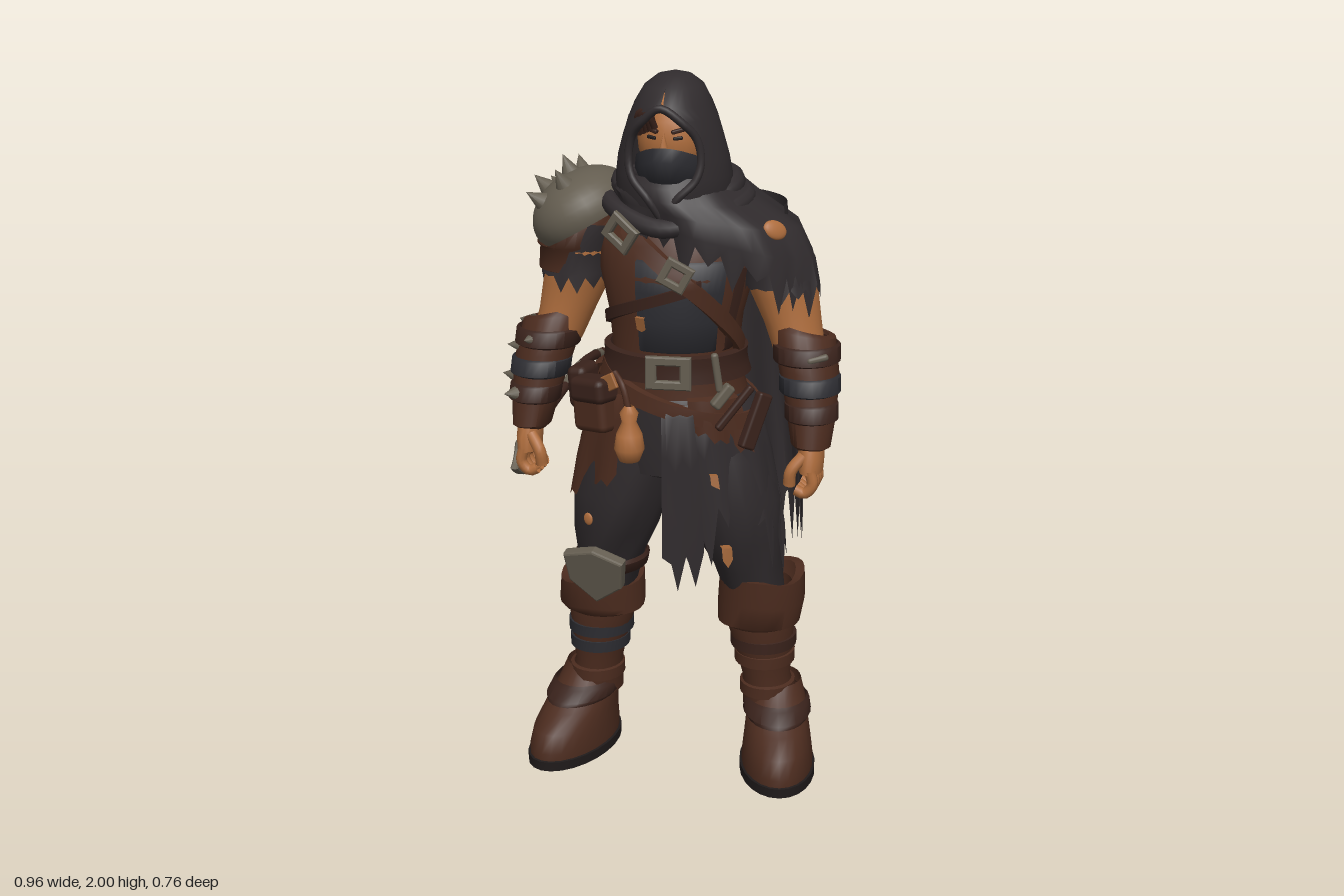
import * as THREE from 'three';
import { toCreasedNormals } from 'three/addons/utils/BufferGeometryUtils.js';
import { RoundedBoxGeometry } from 'three/addons/geometries/RoundedBoxGeometry.js';

const V = (x, y, z) => new THREE.Vector3(x, y, z);
const paint = (name, color) => Object.assign(new THREE.MeshStandardMaterial({ color, side: THREE.DoubleSide }), { name });

export function createModel() {
  const model = new THREE.Group();
  model.name = 'hoodedFighter';
  const cloth = paint('charcoalCloth', 0x302b2d), leather = paint('brownLeather', 0x4b2b1e);
  const dark = paint('darkLeather', 0x39221b), skin = paint('skin', 0xae6d3d), metal = paint('dullMetal', 0x645d50);
  const slate = paint('slateCloth', 0x2b2b30), sole = paint('sole', 0x1f1a1a), tan = paint('tanLeather', 0x9c6236);

  let seed = 7;
  const rnd = () => (seed = (seed * 16807) % 2147483647) / 2147483647;
  function add(geo, mat, name, parent = model) {
    const m = new THREE.Mesh(geo, mat);
    m.name = name;
    parent.add(m);
    return m;
  }

  // Grid of points at(t row, u column) turned into a surface
  function grid(nr, nc, at, closed = false) {
    const pos = [], idx = [], w = closed ? nc : nc + 1;
    for (let r = 0; r <= nr; r++) for (let c = 0; c < w; c++) pos.push(...at(r, c).toArray());
    for (let r = 0; r < nr; r++) for (let c = 0; c < nc; c++) {
      const a = r * w + c, b = r * w + (c + 1) % w;
      idx.push(a, a + w, b, b, a + w, b + w);
    }
    const g = new THREE.BufferGeometry();
    g.setAttribute('position', new THREE.Float32BufferAttribute(pos, 3));
    g.setIndex(idx);
    return toCreasedNormals(g, 0.9);
  }

  // Stacked ellipses [y, cx, cz, rx, rz, front opening], listed from the top down
  function loft(rows, { seg = 24, a0 = 0, a1 = Math.PI * 2, warp } = {}) {
    const closed = a1 - a0 > 6.28 && rows.every(r => !r[5]);
    return grid(rows.length - 1, seg, (r, c) => {
      const [y, cx, cz, rx, rz, o = 0] = rows[r];
      const a = a0 + o + (a1 - a0 - 2 * o) * c / seg;
      const p = V(cx + rx * Math.sin(a), y, cz + rz * Math.cos(a));
      if (warp) warp(p, a, r / (rows.length - 1), c);
      return p;
    }, closed);
  }

  // Body outline [y, cz, rx, rz], also used to lay straps and skirts on it
  const body = [[1.64, .1, .1, .1], [1.57, .1, .22, .16], [1.46, .115, .215, .185], [1.34, .13, .185, .165], [1.22, .135, .172, .155],
    [1.1, .135, .21, .165], [.95, .13, .25, .165], [.75, .13, .285, .165], [.5, .12, .295, .17]];
  function onBody(y, a, off) {
    let i = 0;
    while (i < body.length - 2 && body[i + 1][0] > y) i++;
    const k = (body[i][0] - y) / (body[i][0] - body[i + 1][0]);
    const [cz, rx, rz] = [1, 2, 3].map(j => THREE.MathUtils.lerp(body[i][j], body[i + 1][j], k));
    return V((rx + off) * Math.sin(a), y, cz + (rz + off) * Math.cos(a));
  }
  // Wrapped piece between two height rules, with an optional torn hem
  function wrap(name, mat, a0, a1, top, bot, off, jag = 0) {
    const ts = [0, .06, .35, .65, .94, 1], n = Math.ceil((a1 - a0) * 11);
    const tear = Array.from({ length: n + 1 }, (_, i) => jag * (i % 2 ? .4 + rnd() * .6 : rnd() * .25));
    return add(grid(5, n, (r, c) => {
      const a = a0 + (a1 - a0) * c / n;
      const y = THREE.MathUtils.lerp(top(a), bot(a) - tear[c], ts[r]);
      return onBody(y, a, r === 0 || (r === 5 && !jag) ? off - .018 : off + (jag ? .008 * Math.cos(a * 11) * ts[r] : 0));
    }), mat, name);
  }
  const flat = y => () => y;
  function spike(parent, p, dir, r, h) {
    const m = add(new THREE.ConeGeometry(r, h, 10).translate(0, h / 2 - .006, 0), metal, 'spike', parent);
    m.position.copy(p);
    m.quaternion.setFromUnitVectors(V(0, 1, 0), dir.clone().normalize());
  }
  const tube = (pts, r, n = 24, closed = false) => new THREE.TubeGeometry(new THREE.CatmullRomCurve3(pts, closed), n, r, 10, closed);
  const ball = (r, sx, sy, sz) => new THREE.SphereGeometry(r, 20, 14).scale(sx, sy, sz);
  function box(name, mat, x, y, z, w, h, d, rz = 0, ry = 0, r = .008) {
    const m = add(new RoundedBoxGeometry(w, h, d, 2, r), mat, name);
    m.position.set(x, y, z);
    m.rotation.set(0, ry, rz);
    return m;
  }
  function buckle(x, y, z, w, h, rz, ry) {
    const s = new THREE.Shape([[-w, -h], [w, -h], [w, h], [-w, h]].map(p => new THREE.Vector2(...p)));
    s.holes.push(new THREE.Path([[-w, -h], [-w, h], [w, h], [w, -h]].map(p => new THREE.Vector2(p[0] * .62, p[1] * .6))));
    const m = add(new THREE.ExtrudeGeometry(s, { depth: .012, bevelSize: .004, bevelThickness: .004, bevelSegments: 1 }), metal, 'buckle');
    m.position.set(x, y, z);
    m.rotation.set(0, ry, rz);
  }

  // Torso, vest panel, straps and belts
  add(loft(body.slice(0, 6).map(([y, cz, rx, rz]) => [y, 0, cz, rx, rz]), { seg: 32 }), leather, 'vest');
  add(loft([[1.12, 0, .135, .19, .15], [1, 0, .13, .215, .155], [.9, 0, .13, .18, .14], [.84, 0, .13, 0, 0]]), cloth, 'hips');
  wrap('vestPanel', slate, -.35, .85, flat(1.52), flat(1.25), .006);
  wrap('vestTear', tan, -.36, -.22, flat(1.36), flat(1.325), .016, .01);
  wrap('sideSeam', dark, 1.0, 1.2, flat(1.5), flat(1.25), .009);
  wrap('chestStrap', leather, -.75, 1.5, a => 1.535 - .17 * a, a => 1.475 - .17 * a, .02);
  wrap('chestStrapLower', dark, -1.3, .5, a => 1.43 + .07 * a, a => 1.395 + .07 * a, .013);
  wrap('backStrap', dark, Math.PI, 4.9, a => 1.45 + .04 * (a - 4), a => 1.4 + .04 * (a - 4), .014);
  wrap('belt', dark, 0, Math.PI * 2, flat(1.255), flat(1.175), .024);
  wrap('slungBelt', leather, -1.2, 2.6, a => 1.16 - .07 * Math.sin(a + .3), a => 1.11 - .07 * Math.sin(a + .3), .026);
  buckle(-.11, 1.585, .285, .042, .036, -.6, -.35);
  buckle(.045, 1.485, .315, .036, .034, -.5, .15);
  buckle(.025, 1.215, .315, .058, .042, 0, .1);

  // Torn skirts, leather hip plates and loincloth
  wrap('tornSkirt', cloth, .02, 2.2, flat(1.13), a => .79 - .07 * Math.cos(a * 4), .018, .16);
  wrap('rearSkirt', cloth, 2.1, 4.2, flat(1.13), flat(.85), .012, .14);
  wrap('frontTail', cloth, .08, .4, flat(1.12), flat(.72), .03, .14);
  wrap('skirtTear', tan, .56, .66, flat(.72), flat(.69), .034, .03);
  wrap('skirtTear', tan, .5, .58, flat(.93), flat(.905), .034, .02);
  [[-2.95, -2.4, .97], [-2.42, -1.85, .94], [-1.87, -1.2, .96]].forEach(([a0, a1, y], i) =>
    wrap('hipPlate', i === 1 ? dark : leather, a0, a1, flat(1.18), a => y + .03 * Math.cos(a * 6), i === 1 ? .036 : .027, .015));
  wrap('hipPlateUpper', leather, -2.7, -1.3, flat(1.19), a => 1.1 + .015 * Math.cos(a * 5), .042);
  wrap('frontHipFlap', leather, -1.3, -.45, flat(1.15), a => .91 + .12 * (a + .45), .03, .03);
  wrap('leftHipFlap', leather, .35, 1.1, flat(1.14), a => 1.1 - .1 * a, .022, .03);

  // Pouches, hanging bag and small tools
  box('pouch', leather, -.19, 1.1, .275, .12, .15, .08, .1, -.5, .02);
  box('pouchFlap', dark, -.192, 1.145, .285, .125, .07, .085, .1, -.5, .02);
  box('smallPouch', dark, -.255, 1.12, .17, .06, .12, .1, .08, -.2, .02);
  box('pouchRag', tan, -.14, 1.175, .315, .045, .045, .012, .5, -.4, .004);
  const bag = add(new THREE.LatheGeometry([[.001, .96], [.028, .965], [.042, 1], [.036, 1.04], [.02, 1.075], [.026, 1.1], [.012, 1.12]]
    .map(p => new THREE.Vector2(...p)), 16), skin, 'hangingBag');
  bag.position.set(-.08, 0, .335);
  add(tube([V(-.08, 1.1, .335), V(-.1, 1.17, .325), V(-.13, 1.2, .3)], .009, 8), leather, 'bagCord');
  box('toolGrip', dark, .2, 1.12, .285, .022, .15, .022, -.7, .5);
  box('toolHead', metal, .17, 1.155, .3, .03, .075, .03, -.7, .5);
  box('daggerHilt', metal, .155, 1.22, .3, .02, .11, .02, .15, .4);
  box('sheath', dark, .245, 1.07, .23, .045, .16, .03, -.4, .8);

  // Hood, rim, face and mask
  const hood = [[2, 0, .14, 0, 0], [1.99, 0, .145, .045, .05], [1.965, 0, .15, .078, .095], [1.92, 0, .16, .103, .128, .04],
    [1.885, 0, .16, .118, .135, .46], [1.84, 0, .16, .133, .132, .72], [1.78, 0, .157, .15, .13, .72],
    [1.73, 0, .15, .158, .138, .58], [1.68, 0, .14, .16, .15, .25], [1.62, 0, .13, .15, .14, .02]];
  add(loft(hood, { seg: 32 }), cloth, 'hood');
  const edge = s => hood.slice(3).map(([y, , cz, rx, rz, o]) => V(s * rx * Math.sin(o), y, cz + rz * Math.cos(o)));
  add(tube([...edge(-1).reverse(), ...edge(1).slice(1)], .011, 48), cloth, 'hoodRim');
  add(ball(1, .096, .12, .098), skin, 'face').position.set(0, 1.825, .16);
  add(loft([[1.795, 0, .16, .1, .106], [1.76, 0, .163, .102, .12], [1.71, 0, .165, .077, .105], [1.66, 0, .14, .07, .08]],
    { warp: (p, a) => { p.y += .02 * Math.cos(a * 2); p.z += .012 * Math.max(0, Math.cos(a)) ** 6; } }), slate, 'faceMask');
  const nose = add(new THREE.ConeGeometry(.016, .06, 8), skin, 'nose');
  nose.position.set(0, 1.825, .262);
  for (const s of [-1, 1]) {
    box('eye', sole, s * .036, 1.838, .253, .026, .009, .009, s * .12, s * .3, .003);
    box('brow', dark, s * .038, 1.858, .25, .042, .011, .014, s * .25, s * .35, .004);
  }
  for (let i = 0; i < 5; i++)
    add(tube([V(-.01, 1.925, .26), V(-.03 - i * .01, 1.9, .275 - i * .005), V(-.025 - i * .013, 1.865 - i * .006, .262 - i * .008)], .009, 8), dark, 'hairLock');

  // Shoulder mantle hanging low over the left shoulder, with scarf rolls and cape
  add(loft([[1.73, 0, .14, .13, .12], [1.7, 0, .09, .17, .185], [1.65, .02, .08, .21, .215], [1.585, .07, .075, .26, .225],
    [1.5, .09, .08, .285, .22], [1.43, .095, .085, .295, .21]], { seg: 56, warp: (p, a, t, c) => {
    p.y += t * t * .115 * (1 - Math.sin(a - .15));
    p.x += .01 * t * Math.cos(a * 9) * Math.sin(a);
    p.z += .01 * t * Math.cos(a * 9) * Math.cos(a) + .07 * t * Math.max(0, Math.sin(a)) * Math.max(0, -Math.cos(a));
    if (t === 1) p.y -= c % 2 ? .03 + .09 * rnd() : 0;
  } }), cloth, 'mantle');
  for (const [w, f, y, r] of [[.155, .235, 1.645, .03], [.19, .275, 1.61, .026]])
    add(tube([V(0, y - .01, f + .01), V(w * .75, y + .025, f - .05), V(w, y + .05, .12), V(w * .6, y + .055, -.03),
      V(0, y + .05, -.075), V(-w * .6, y + .055, -.03), V(-w, y + .05, .12), V(-w * .75, y + .025, f - .05)], r, 48, true), cloth, 'scarfRoll');
  const hole = add(ball(1, .036, .026, .012), skin, 'shoulderTear');
  hole.position.set(.287, 1.595, .2);
  hole.rotation.set(-.5, .75, 0);
  add(loft([[1.64, .06, .07, .23, .19], [1.5, .075, .03, .22, .135], [1.3, .08, 0, .21, .1], [1.1, .085, -.005, .215, .1],
    [.95, .09, -.005, .225, .108], [.84, .1, 0, .235, .118]], { seg: 28, a0: 1.45, a1: 4.4, warp: (p, a, t, c) => {
    p.z += .012 * t * Math.cos(a * 10);
    if (t === 1) p.y -= c % 2 ? .04 + .2 * rnd() : .09 * rnd() - .04;
  } }), cloth, 'cape');
  for (let i = 0; i < 7; i++) {
    const s = new THREE.Shape([[-.045, 0], [.045, 0], [.03, -.11], [.01, -.13], [-.01, -.2 - .12 * rnd()]].map(p => new THREE.Vector2(...p)));
    add(new THREE.ShapeGeometry(s), cloth, 'capeTatter').position.set(-.07 + i * .055, 1.0 - .14 * rnd(), -.128 + .014 * Math.abs(i - 3));
  }

  // Spiked shoulder plate
  const plate = new THREE.Group();
  plate.name = 'shoulderPlate';
  plate.position.set(-.27, 1.595, .09);
  plate.rotation.z = .52;
  model.add(plate);
  add(new THREE.SphereGeometry(1, 28, 12, 0, Math.PI * 2, 0, Math.PI * .6).scale(.15, .115, .165), metal, 'plateShell', plate);
  for (const x of [-.42, .12]) for (const z of [-.55, 0, .55]) {
    const y = Math.sqrt(1 - x * x - z * z);
    spike(plate, V(x * .15, y * .115, z * .165), V(x / .15, y / .115, z / .165), .027, .056);
  }
  add(loft([[1.6, -.25, .09, .06, .08], [1.57, -.28, .09, .1, .12], [1.51, -.295, .09, .108, .12], [1.5, -.295, .09, .1, .11], [1.44, -.295, .09, .104, .11], [1.43, -.29, .09, .085, .09]]), leather, 'armPlates');

  // Arms, sleeves, bracers and hands
  for (const s of [-1, 1]) {
    const arm = rows => rows.map(([y, x, ...r]) => [y, s * x, ...r]);
    add(loft(arm([[1.58, .2, .1, .08, .1], [1.5, .27, .1, .1, .1], [1.44, .28, .1, .103, .104], [1.4, .285, .1, .104, .106]]),
      { seg: 28, warp: (p, a, t, c) => { if (t === 1) p.y += c % 2 ? .03 - .06 * rnd() : .03; } }), cloth, 'tornSleeve');
    add(loft(arm([[1.57, .23, .1, .07, .08], [1.5, .265, .1, .095, .1], [1.4, .295, .095, .092, .096], [1.32, .32, .1, .078, .085], [1.24, .345, .12, .07, .075]])), skin, 'upperArm');
    add(loft(arm([[1.31, .352, .115, .07, .075], [1.3, .355, .115, .086, .09], [1.2, .375, .145, .083, .086], [1.1, .39, .18, .069, .072], [1.01, .396, .21, .054, .06], [1.0, .396, .21, .04, .045]]),
      { warp: (p, a, t) => { p.y += .02 * (1 - t) * Math.cos(a + s); } }), leather, 'bracer');
    for (const [y, x, z, r, m] of [[1.25, .365, .13, .092, dark], [1.17, .38, .156, .084, slate], [1.1, .39, .18, .073, dark]])
      add(loft(arm([[y + .025, x, z, r - .008, r - .006], [y + .02, x, z, r, r + .002], [y - .02, x + .003, z + .01, r, r], [y - .025, x, z + .01, r - .008, r - .006]])), m, 'bracerStrap');
    add(loft(arm([[1.03, .396, .21, .036, .044], [.98, .4, .22, .035, .055], [.94, .4, .222, .032, .055], [.92, .398, .222, 0, 0]])), skin, 'palm');
    for (let i = 0; i < 4; i++) {
      const z = .182 + i * .027;
      add(tube([V(s * .405, .95, z), V(s * .412, .91, z), V(s * .39, .878 + Math.abs(i - 1.5) * .005, z), V(s * .365, .895, z)], .0155, 10), skin, 'finger');
    }
    add(tube([V(s * .385, .99, .255), V(s * .355, .95, .275), V(s * .35, .91, .27)], .017, 8), skin, 'thumb');
  }
  for (const [y, a] of [[1.27, -1.9], [1.22, -1.2], [1.25, -.4], [1.13, -1.6], [1.1, -.7]]) {
    const k = (1.3 - y) / .2, d = V(Math.sin(a), .1, Math.cos(a));
    spike(model, V(-.352 - .03 * k + .078 * d.x, y, .118 + .06 * k + .08 * d.z), d, .024, .045);
  }
  box('bracerPlate', metal, .41, 1.25, .21, .06, .018, .02, .2, .4);

  // Hand axe pointing backwards, blade hanging below the fist
  const shaft = [V(-.39, .96, .24), V(-.38, 1.01, .14), V(-.36, 1.06, 0), V(-.352, 1.083, -.13), V(-.353, 1.075, -.25), V(-.355, 1.05, -.36)];
  add(tube(shaft, .014, 32), dark, 'axeHandle');
  add(tube([V(-.361, 1.057, .01), V(-.355, 1.075, -.07), V(-.352, 1.082, -.12)], .016, 8), metal, 'axeWrap');
  add(tube([V(-.353, 1.07, -.275), V(-.354, 1.06, -.32)], .017, 6), metal, 'axeWrap');
  add(ball(.018, 1, 1.2, 2), dark, 'axePommel').position.set(-.355, 1.05, -.345);
  const blade = new THREE.Shape();
  blade.moveTo(-.17, .965);
  blade.lineTo(-.23, .95);
  blade.quadraticCurveTo(-.24, .91, -.275, .89);
  blade.quadraticCurveTo(-.18, .82, -.09, .87);
  blade.quadraticCurveTo(-.15, .9, -.17, .965);
  add(new THREE.ExtrudeGeometry(blade, { depth: .014, bevelSize: .004, bevelThickness: .004, bevelSegments: 1 }).rotateY(Math.PI / 2), metal, 'axeBlade').position.set(-.438, 0, 0);

  // Legs, boots and feet
  for (const s of [-1, 1]) {
    const leg = rows => rows.map(([y, x, ...r]) => [y, s * x, ...r]);
    const top = s > 0 ? .57 : .52;
    add(loft(leg([[1.08, .1, .13, .1, .14], [.95, .13, .13, .125, .15], [.82, .158, .13, .138, .148], [.7, .18, .115, .12, .135], [.61, .2, .1, .095, .11], [.5, .22, .08, .085, .09]]),
      { warp: (p, a, t) => { p.z += .006 * Math.cos(a * 5 + t * 9); } }), cloth, 'trouserLeg');
    add(loft(leg([[top - .03, .228, .075, .095, .1], [.42, .235, .08, .096, .098], [.33, .245, .072, .08, .09], [.26, .25, .067, .068, .083], [.16, .262, .06, .078, .09]])), leather, 'bootShaft');
    add(loft(leg([[top, .236, .07, .095, .11], [top + .005, .236, .07, .12, .135], [top - .07, .236, .075, .124, .126], [.435, .23, .08, .118, .115], [.425, .23, .08, .1, .1]]),
      { warp: (p, a, t) => { p.y += .012 * Math.cos(a * 3) * (1 - t); } }), leather, 'bootCuff');
    for (const [y, x, r, m] of [[.32, .246, .086, s < 0 ? slate : leather], [.37, .242, .094, s < 0 ? slate : dark], [.225, .255, .079, leather]])
      add(loft(leg([[y + .02, x, .07, r - .01, r], [y + .016, x, .07, r, r + .01], [y - .016, x, .07, r, r + .01], [y - .02, x, .07, r - .01, r]])), m, 'bootStrap');
    const foot = new THREE.Group();
    foot.name = 'foot';
    foot.position.set(s * .278, 0, .05);
    foot.rotation.y = s * .24;
    model.add(foot);
    add(loft([[.24, 0, .0, .07, .082], [.19, 0, .02, .083, .105], [.14, 0, .065, .09, .15], [.1, 0, .095, .096, .18], [.05, 0, .104, .102, .192], [.02, 0, .104, .102, .192]]), leather, 'shoe', foot);
    add(loft([[.03, 0, .104, .1, .19], [.028, 0, .104, .108, .198], [.001, 0, .104, .108, .198], [0, 0, .104, 0, 0]]), sole, 'soleSlab', foot);
    add(loft([[.2, 0, .03, .086, .108], [.19, 0, .032, .094, .118], [.165, 0, .05, .098, .14], [.155, 0, .055, .09, .14]]), dark, 'instepStrap', foot);
  }
  const legTear = add(ball(1, .016, .018, .006), skin, 'trouserTear');
  legTear.position.set(-.225, .75, .249);
  legTear.rotation.y = -.45;

  // Knee guard on the right leg
  const guard = new THREE.Shape([[-.085, .05], [0, .075], [.085, .05], [.075, -.03], [0, -.09], [-.075, -.03]].map(p => new THREE.Vector2(...p)));
  const knee = add(new THREE.ExtrudeGeometry(guard, { depth: .02, bevelSize: .006, bevelThickness: .008, bevelSegments: 2 }), metal, 'kneeGuard');
  knee.position.set(-.21, .585, .215);
  knee.rotation.set(.28, -.15, 0);
  add(loft([[.61, -.2, .1, .1, .118], [.6, -.2, .1, .108, .126], [.57, -.205, .095, .106, .12], [.56, -.205, .095, .09, .1]]), dark, 'kneeStrap');

  return model;
}
